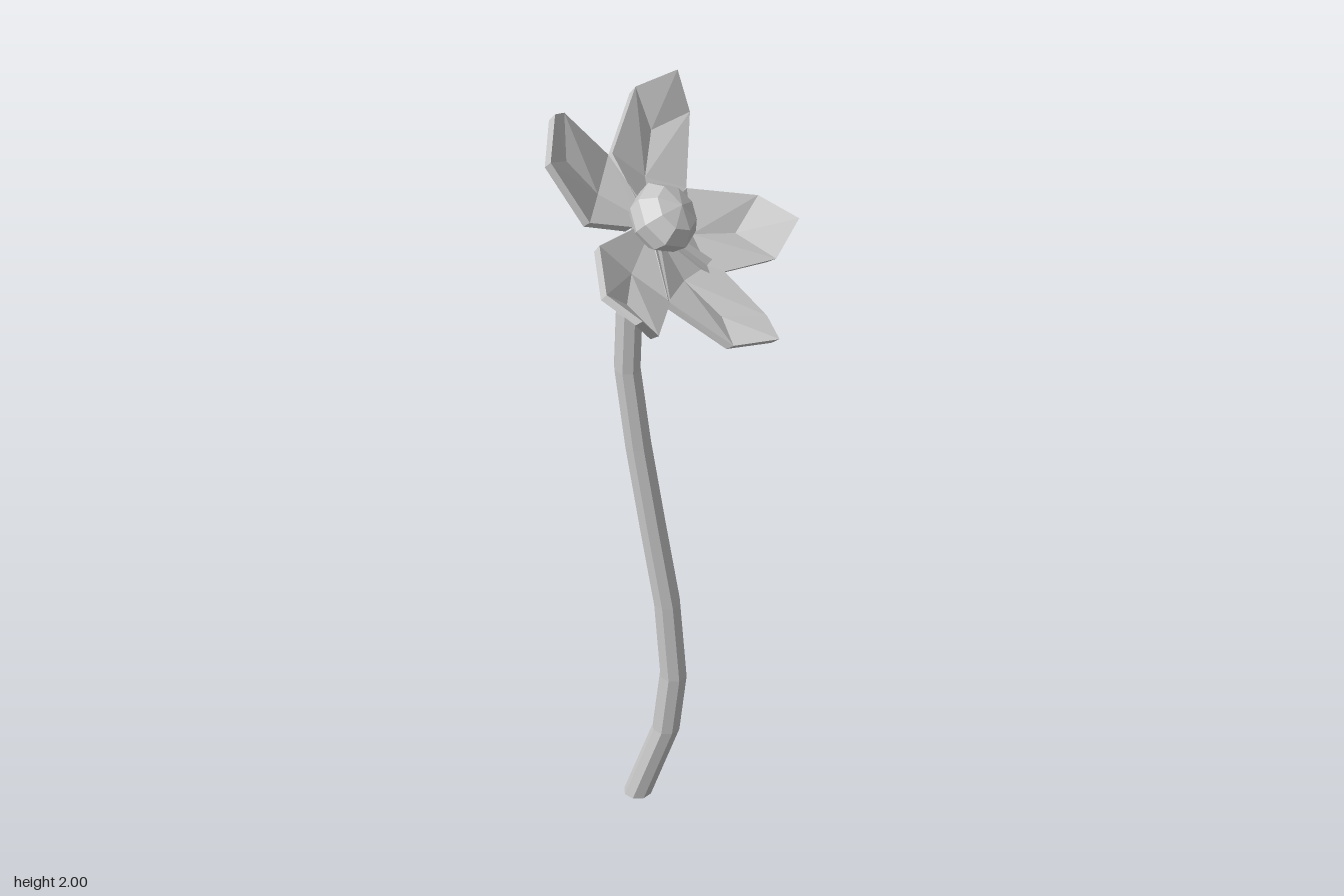
import * as THREE from 'three';

const material = new THREE.MeshStandardMaterial({ color: 0xcccccc, flatShading: true });
const V = (x, y, z) => new THREE.Vector3(x, y, z);

// Octagonal stem: a cylinder whose rows are slid along an S-shaped path
function createStem() {
  const path = [[-0.087, 0], [-0.016, 0.21], [0.002, 0.37], [-0.014, 0.58], [-0.05, 0.8],
    [-0.086, 1.03], [-0.113, 1.25], [-0.108, 1.42], [-0.06, 1.59], [-0.025, 1.68]];
  const rows = path.length - 1;
  const geometry = new THREE.CylinderGeometry(0.033, 0.033, 1, 8, rows);
  const pos = geometry.attributes.position;
  for (let i = 0; i < pos.count; i++) {
    const [x, y] = path[Math.round((pos.getY(i) + 0.5) * rows)];
    pos.setXYZ(i, pos.getX(i) + x, y, pos.getZ(i) - 0.013);
  }
  const stem = new THREE.Mesh(geometry, material);
  stem.name = 'stem';
  return stem;
}

// Cupped petal along +x: two mirrored halves between a midrib and a raised rim
function createPetalGeometry() {
  const tip = V(0.39, 0.058, 0);
  const rib = [V(0.04, -0.045, 0), V(0.15, -0.064, 0), V(0.27, -0.04, 0), tip];
  const rim = [V(0.05, -0.04, 0.045), V(0.16, -0.048, 0.113), V(0.335, 0.003, 0.083), tip];
  const under = (p) => V(p.x * 0.99, p.y - 0.027, p.z * 0.95);
  const out = [];

  for (const side of [1, -1]) {
    const triangle = (...corners) => {
      if (side < 0) corners.reverse();
      for (const p of corners) out.push(p.x, p.y, p.z * side);
    };
    const quad = (a, b, c, d) => {
      triangle(a, b, c);
      if (!c.equals(d)) triangle(a, c, d);
    };
    for (let i = 0; i < 3; i++) {
      const [a, b, c, d] = [rib[i], rim[i], rim[i + 1], rib[i + 1]];
      quad(a, b, c, d); // upper face
      if (i < 2) quad(under(d), under(c), under(b), under(a)); // lower face
      else triangle(under(c), under(b), under(a));
      quad(b, under(b), under(c), c); // edge
    }
    quad(rib[0], under(rib[0]), under(rim[0]), rim[0]); // base end
  }
  const geometry = new THREE.BufferGeometry();
  geometry.setAttribute('position', new THREE.Float32BufferAttribute(out, 3));
  geometry.computeVertexNormals();
  return geometry;
}

// Faceted dome in the middle of the bloom
function createCenter() {
  const profile = [[0, -0.075], [0.045, -0.07], [0.08, -0.025], [0.088, 0.015], [0.06, 0.052], [0, 0.07]];
  const geometry = new THREE.LatheGeometry(profile.map(([r, y]) => new THREE.Vector2(r, y)), 8);
  const center = new THREE.Mesh(geometry, material);
  center.name = 'flowerCenter';
  center.rotation.y = Math.PI / 8;
  return center;
}

export function createModel() {
  const model = new THREE.Group();
  model.name = 'flower';
  model.add(createStem());

  // Bloom, tilted towards +x, with unevenly spaced petals
  const bloom = new THREE.Group();
  bloom.name = 'bloom';
  bloom.position.set(-0.03, 1.7, -0.03);
  bloom.rotation.z = THREE.MathUtils.degToRad(-43);
  bloom.add(createCenter());

  const petalGeometry = createPetalGeometry();
  for (const angle of [11.5, 80, 168, 243, 314]) {
    const petal = new THREE.Mesh(petalGeometry, material);
    petal.name = 'petal';
    petal.rotation.y = THREE.MathUtils.degToRad(-angle);
    bloom.add(petal);
  }
  model.add(bloom);
  return model;
}
